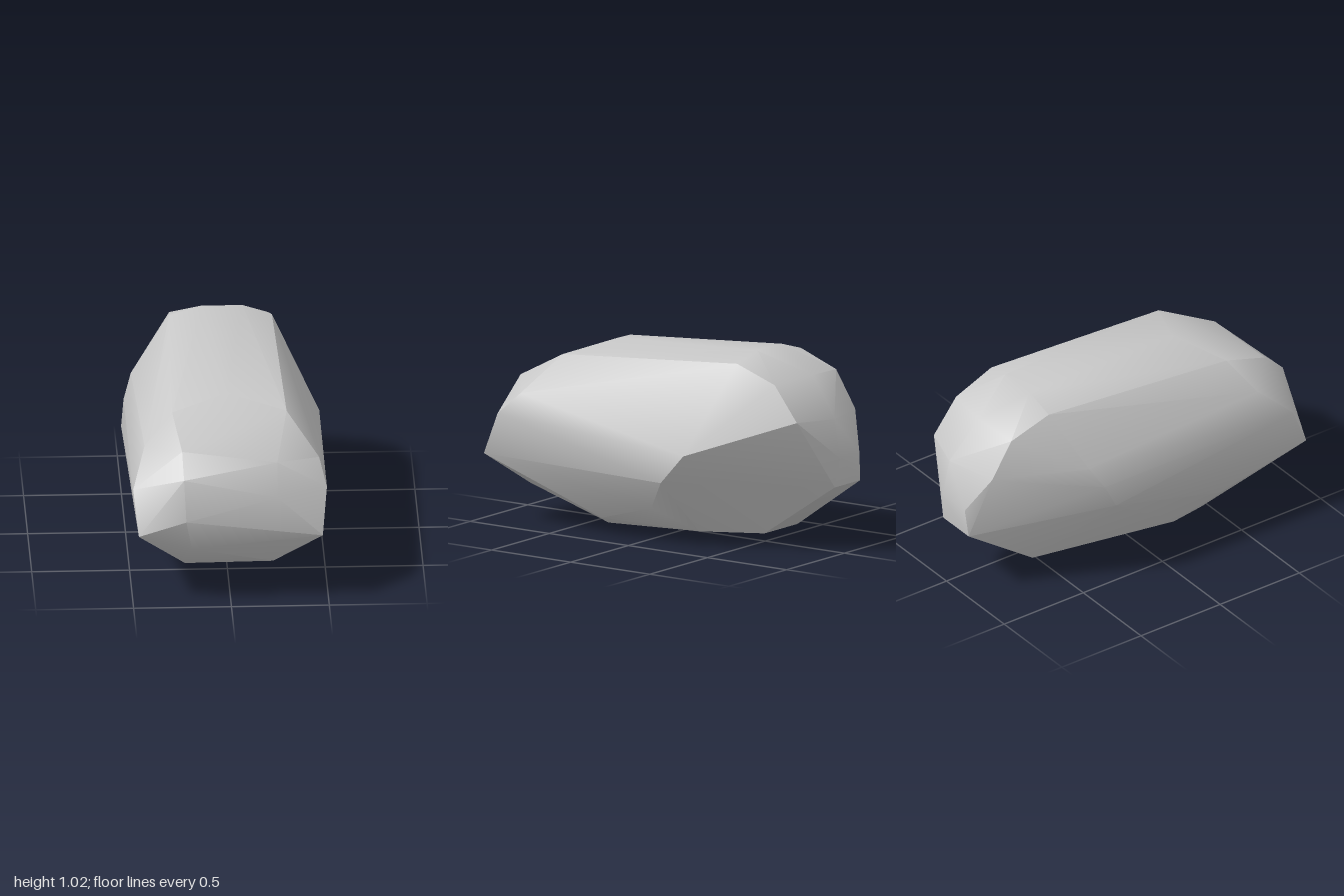
import * as THREE from 'three';
import { toCreasedNormals } from 'three/addons/utils/BufferGeometryUtils.js';
import { ConvexGeometry } from 'three/addons/geometries/ConvexGeometry.js';

const points = (rows) => rows.map((p) => new THREE.Vector3(...p));

export function createModel() {
  const stone = new THREE.MeshStandardMaterial({ color: 0xc8c8c8 });
  stone.name = 'grey stone';

  // Corners of the boulder, grouped by the side they lie on
  const top = points([
    [0, 0.945, 0.43], [0.3, 0.895, 0.56], [-0.285, 0.895, 0.56],
    [0.12, 1.02, -0.54], [-0.09, 1.02, -0.54], [0.27, 0.975, -0.52], [-0.255, 0.97, -0.54],
  ]);
  const front = points([
    [-0.245, 0.79, 0.83], [0.24, 0.74, 0.87], [-0.24, 0.68, 0.95], [0.24, 0.58, 0.955],
    [-0.23, 0.47, 1], [0.47, 0.36, 0.935], [-0.47, 0.365, 0.93],
    [-0.2, 0.3, 0.945], [-0.23, 0.17, 0.82], [0.3, 0.24, 0.86], [0.22, 0.175, 0.82],
  ]);
  const leftSide = points([
    [0.46, 0.7, 0.71], [0.495, 0.585, 0.83], [0.505, 0.51, -0.35],
    [0.495, 0.35, -0.2], [0.41, 0.19, -0.08], [0.345, 0.083, 0.28],
  ]);
  const rightSide = points([
    [-0.43, 0.75, 0.65], [-0.455, 0.7, -0.43], [-0.495, 0.585, 0.83], [-0.495, 0.585, -0.36],
    [-0.51, 0.46, -0.3], [-0.45, 0.24, 0.4], [-0.34, 0.087, 0.19],
  ]);
  const back = points([
    [0.26, 0.89, -0.75], [-0.245, 0.89, -0.77], [0, 0.905, -0.8],
    [0.26, 0.71, -0.89], [-0.245, 0.7, -0.89], [0.03, 0.7, -0.96],
    [0.035, 0.5, -1], [-0.145, 0.5, -0.99],
    [0.055, 0.35, -0.98], [-0.165, 0.35, -0.98],
  ]);
  const bottom = points([
    [0.115, 0.07, -0.58], [-0.17, 0.07, -0.58], [0.27, 0.07, -0.28], [0, 0, 0.2],
    [0, 0.023, 0.4], [0.245, 0.037, 0.31], [-0.255, 0.042, 0.42],
  ]);

  // Smooth facets with sharp creases along the flat flanks
  const hull = new ConvexGeometry([...top, ...front, ...leftSide, ...rightSide, ...back, ...bottom]);
  const boulder = new THREE.Mesh(toCreasedNormals(hull, THREE.MathUtils.degToRad(32)), stone);
  boulder.name = 'boulder';

  const group = new THREE.Group();
  group.name = 'rock';
  group.add(boulder);
  return group;
}
